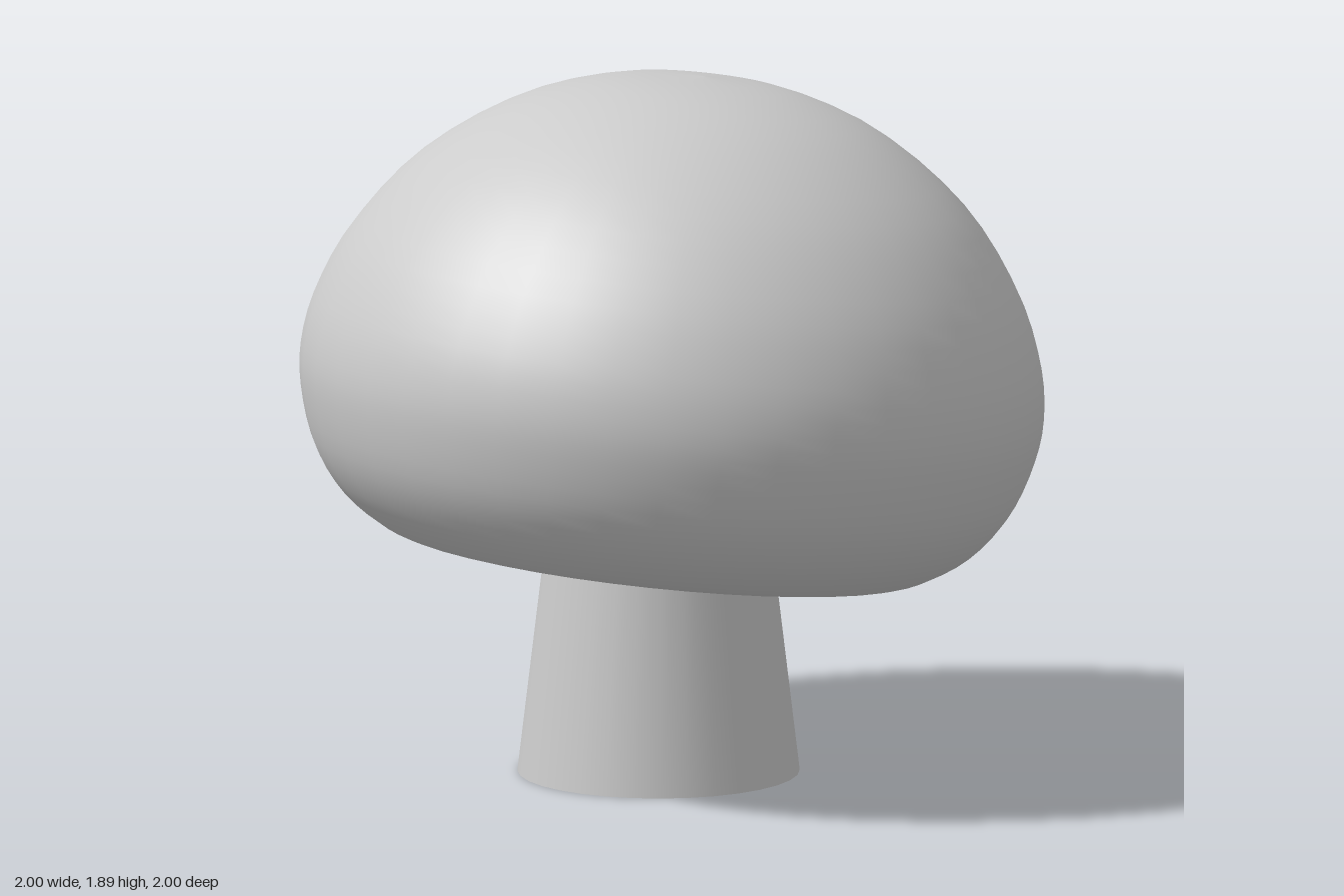
import * as THREE from 'three';

const material = new THREE.MeshStandardMaterial({ color: 0xcccccc, side: THREE.DoubleSide });
const toPoints = (list) => list.map(([r, y]) => new THREE.Vector2(r, y));

function addMesh(parent, name, geometry) {
  const mesh = new THREE.Mesh(geometry, material);
  mesh.name = name;
  parent.add(mesh);
  return mesh;
}

export function createModel() {
  const model = new THREE.Group();
  model.name = 'mushroom';

  // Tilted head: domed cap plus hollow underside, leaning to +x and -z
  const head = new THREE.Group();
  head.name = 'head';
  head.position.y = 1.06;
  head.quaternion.setFromUnitVectors(
    new THREE.Vector3(0, 1, 0),
    new THREE.Vector3(0.09, 1, -0.09).normalize()
  );
  model.add(head);

  // Cap skin: from the rim of the opening, round the lip, up to the crown
  const skin = new THREE.SplineCurve(toPoints([
    [0.6, -0.465], [0.65, -0.478], [0.74, -0.455], [0.85, -0.38], [0.935, -0.27],
    [0.985, -0.13], [1, 0], [0.975, 0.15], [0.895, 0.335], [0.735, 0.54],
    [0.5, 0.71], [0.25, 0.8], [0, 0.825],
  ])).getPoints(40);
  skin[skin.length - 1].x = 0;
  addMesh(head, 'cap', new THREE.LatheGeometry(skin, 40));

  // Hollow underside rising from the rim to the stem
  addMesh(head, 'underside', new THREE.LatheGeometry(toPoints([
    [0, -0.2], [0.3, -0.22], [0.48, -0.31], [0.6, -0.465],
  ]), 40));

  // Tapered stem, set slightly off centre below the tilted cap
  const stem = addMesh(model, 'stem', new THREE.CylinderGeometry(0.275, 0.378, 0.86, 32));
  stem.position.set(-0.032, 0.43, 0.032);

  return model;
}
